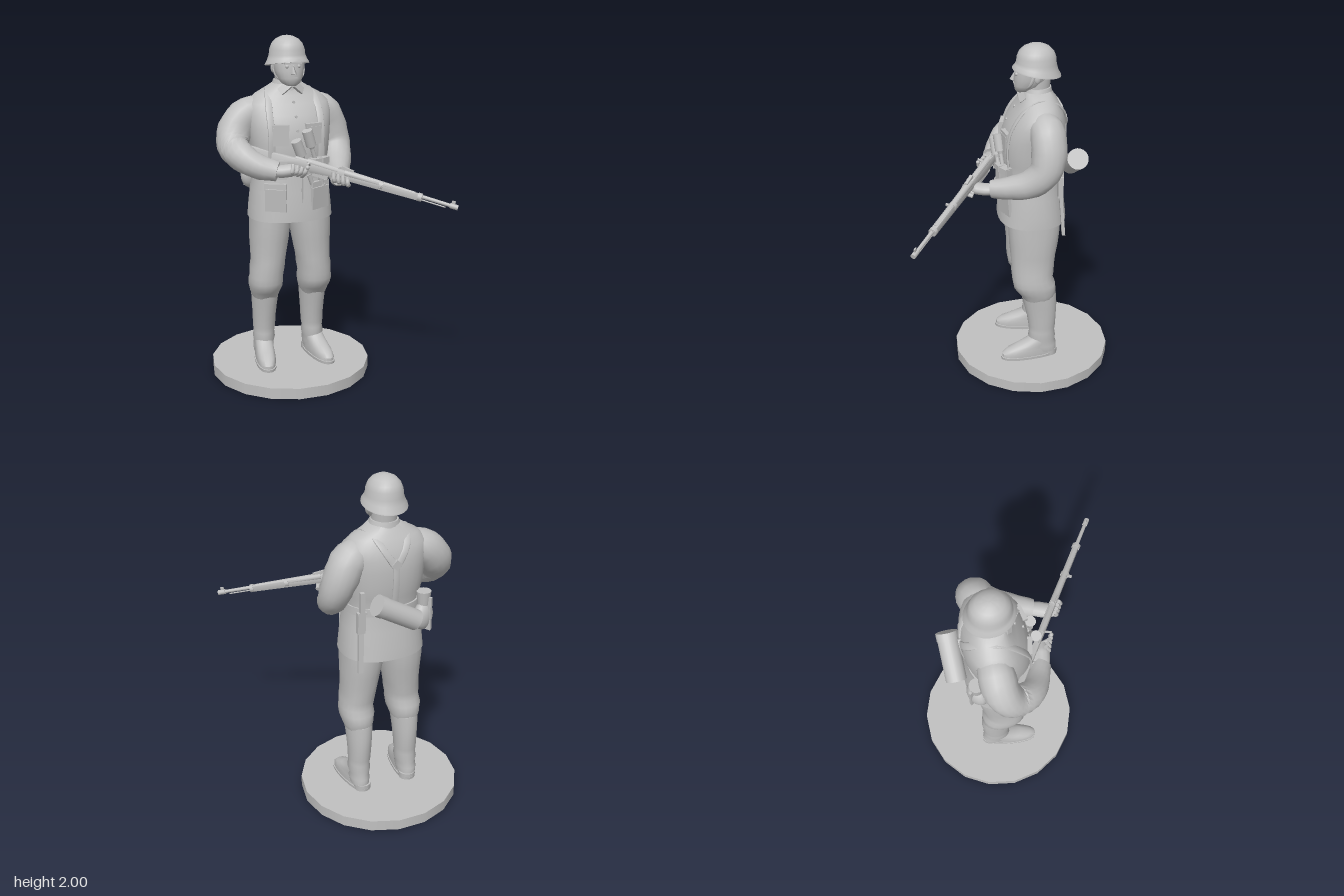
import * as THREE from 'three';
import { toCreasedNormals } from 'three/addons/utils/BufferGeometryUtils.js';

const V = (x, y, z) => new THREE.Vector3(x, y, z);
const CX = -0.13; // body centre line

export function createModel() {
  const model = new THREE.Group();
  const grey = new THREE.MeshStandardMaterial({ color: 0xc0c0c0 });
  grey.name = 'plain grey';

  const add = (name, geo, pos = [0, 0, 0], rot = [0, 0, 0], parent = model) => {
    const m = new THREE.Mesh(geo, grey);
    m.name = name;
    m.position.set(...pos);
    m.rotation.set(...rot);
    parent.add(m);
    return m;
  };

  // closed skin over rings {c, u, v}; n is the squareness, fold the depth of cloth folds
  function skin(rings, { n = 2, seg = 20, fold = 0 } = {}) {
    const pos = [], idx = [];
    const pw = (a) => Math.sign(a) * Math.abs(a) ** (2 / n);
    rings.forEach(({ c, u, v }, i) => {
      for (let j = 0; j < seg; j++) {
        const t = (j / seg) * Math.PI * 2;
        const k = 1 + fold * Math.sin(3 * t + 2.3 * i) * Math.sin(1.9 * i + t);
        const p = c.clone().addScaledVector(u, k * pw(Math.cos(t))).addScaledVector(v, k * pw(Math.sin(t)));
        pos.push(p.x, p.y, p.z);
      }
    });
    for (let i = 0; i < rings.length - 1; i++) for (let j = 0; j < seg; j++) {
      const a = i * seg + j, b = i * seg + (j + 1) % seg;
      idx.push(a, a + seg, b, b, a + seg, b + seg);
    }
    const last = (rings.length - 1) * seg, mid = rings.length * seg;
    for (const r of [rings[0], rings[rings.length - 1]]) pos.push(r.c.x, r.c.y, r.c.z);
    for (let j = 0; j < seg; j++) {
      const k = (j + 1) % seg;
      idx.push(mid, j, k, mid + 1, last + k, last + j);
    }
    const g = new THREE.BufferGeometry();
    g.setAttribute('position', new THREE.Float32BufferAttribute(pos, 3));
    g.setIndex(idx);
    return toCreasedNormals(g, 0.8);
  }

  // upright form from rows [y, x, z, rx, rz, tilt]
  const stack = (rows, opt) => skin(rows.map(([y, x, z, rx, rz, tilt = 0]) =>
    ({ c: V(x, y, z), u: V(rx, 0, 0), v: V(0, tilt, rz) })), opt);

  // form swept along points [x, y, z, r]; flat squashes it across ref
  function limb(pts, ref, { steps = 18, flat = 1, ...opt } = {}) {
    const curve = new THREE.CatmullRomCurve3(pts.map((p) => V(p[0], p[1], p[2])));
    const rings = [];
    for (let i = 0; i <= steps; i++) {
      const t = i / steps, f = t * (pts.length - 1), k = Math.min(Math.floor(f), pts.length - 2);
      const r = THREE.MathUtils.lerp(pts[k][3], pts[k + 1][3], f - k);
      const d = curve.getTangent(t);
      const u = ref.clone().addScaledVector(d, -ref.dot(d)).normalize();
      rings.push({ c: curve.getPoint(t), u: u.clone().multiplyScalar(r), v: u.cross(d).multiplyScalar(r * flat) });
    }
    return skin(rings, opt);
  }
  const X = V(1, 0, 0), Z = V(0, 0, 1);
  const box = (x, y, z) => new THREE.BoxGeometry(x, y, z);
  const rod = (r0, r1, h, n = 14) => new THREE.CylinderGeometry(r0, r1, h, n);

  // base
  add('base', rod(0.473, 0.473, 0.065, 18).rotateY(Math.PI / 18), [CX, 0.0325, -0.13]);

  // legs and boots
  for (const s of [-1, 1]) {
    const side = s < 0 ? 'right' : 'left';
    const at = (rows) => rows.map(([y, o, ...r]) => [y, CX + s * o, ...r]);
    add(side + 'TrouserLeg', stack(at([[0.47, 0.15, -0.15, 0.074, 0.09], [0.51, 0.15, -0.145, 0.088, 0.112],
      [0.54, 0.15, -0.13, 0.094, 0.124], [0.575, 0.15, -0.125, 0.1, 0.128], [0.61, 0.148, -0.115, 0.098, 0.12],
      [0.66, 0.143, -0.115, 0.1, 0.124], [0.71, 0.137, -0.117, 0.1, 0.127], [0.77, 0.132, -0.12, 0.108, 0.132],
      [0.84, 0.127, -0.122, 0.112, 0.14], [0.92, 0.122, -0.125, 0.117, 0.15], [1.02, 0.118, -0.125, 0.117, 0.155]]),
    { n: 2.2, fold: 0.035 }));
    add(side + 'BootShaft', stack(at([[0.1, 0.155, -0.19, 0.054, 0.076], [0.14, 0.155, -0.18, 0.06, 0.085],
      [0.17, 0.153, -0.178, 0.058, 0.077], [0.2, 0.153, -0.175, 0.066, 0.084], [0.235, 0.152, -0.175, 0.062, 0.077],
      [0.27, 0.151, -0.175, 0.066, 0.08], [0.34, 0.15, -0.172, 0.069, 0.088], [0.42, 0.149, -0.165, 0.076, 0.097],
      [0.505, 0.148, -0.153, 0.082, 0.102]]), { fold: 0.025 }));
    const foot = new THREE.Group();
    foot.name = side + 'Foot';
    foot.position.set(CX + s * 0.155, 0, -0.18);
    foot.rotation.y = s * 0.14;
    model.add(foot);
    add('bootUpper', stack([[0.075, 0, 0.085, 0.056, 0.17], [0.1, 0, 0.085, 0.058, 0.17], [0.125, 0, 0.075, 0.056, 0.152],
      [0.15, 0, 0.045, 0.054, 0.118], [0.18, 0, 0.012, 0.054, 0.085], [0.21, 0, 0, 0.05, 0.07]], { n: 2.3 }),
    [0, 0, 0], [0, 0, 0], foot);
    add('bootSole', stack([[0.062, 0, 0.085, 0.06, 0.175], [0.082, 0, 0.085, 0.062, 0.178]], { n: 2.4 }), [0, 0, 0], [0, 0, 0], foot);
    add('bootHeel', rod(0.052, 0.05, 0.04), [0, 0.085, -0.04], [0, 0, 0], foot);
  }

  // jacket
  const jacket = [[0.97, -0.122, 0.245, 0.203], [1.04, -0.12, 0.24, 0.197], [1.14, -0.118, 0.228, 0.185],
    [1.24, -0.117, 0.215, 0.172], [1.28, -0.119, 0.213, 0.17], [1.34, -0.122, 0.224, 0.178], [1.42, -0.127, 0.235, 0.183],
    [1.5, -0.133, 0.244, 0.178], [1.57, -0.145, 0.25, 0.162], [1.63, -0.155, 0.24, 0.135], [1.675, -0.158, 0.19, 0.108],
    [1.71, -0.155, 0.125, 0.09], [1.735, -0.148, 0.085, 0.08]];
  add('jacket', stack(jacket.map(([y, z, rx, rz]) => [y, CX, z, rx, rz]), { n: 2.3, seg: 32, fold: 0.012 }));

  // depth of the jacket surface at x, y; s is 1 for the front and -1 for the back
  function depth(x, y, s = 1) {
    let k = 0;
    while (k < jacket.length - 2 && jacket[k + 1][0] < y) k++;
    const a = jacket[k], b = jacket[k + 1], t = (y - a[0]) / (b[0] - a[0]);
    const [z, rx, rz] = [1, 2, 3].map((i) => a[i] + (b[i] - a[i]) * t);
    const q = Math.min(1, Math.abs(x - CX) / rx);
    return z + s * rz * (1 - q ** 2.3) ** (1 / 2.3);
  }
  const onJacket = (name, geo, x, y, s = 1, out = 0, roll = 0) => {
    const slope = (depth(x + 0.01, y, s) - depth(x - 0.01, y, s)) / 0.02;
    return add(name, geo, [x, y, depth(x, y, s) + s * out], [0, Math.atan(-slope), roll]);
  };

  // belt, buckle and jacket front
  add('belt', stack([[1.238, CX, -0.117, 0.224, 0.181], [1.285, CX, -0.119, 0.223, 0.18]], { n: 2.3, seg: 32 }));
  onJacket('beltBuckle', box(0.055, 0.05, 0.012), CX, 1.262, 1, 0.012);
  for (let y = 1.34; y < 1.68; y += 0.075) {
    onJacket('button', rod(0.008, 0.008, 0.01, 8).rotateX(Math.PI / 2), CX, y, 1, 0.004);
  }
  onJacket('jacketFrontEdge', box(0.006, 0.25, 0.012), CX + 0.02, 1.1, 1, -0.004).rotation.x = 0.08;

  // pockets, ammunition pouches, shoulder straps and collar
  const strap = (name, pts) => add(name, limb(pts.map(([x, y, z]) => [x, y, z, 0.02]), X, { flat: 0.35, n: 3, seg: 12 }));
  for (const s of [-1, 1]) {
    const x = (o) => CX + s * o;
    onJacket('chestPocket', box(0.09, 0.1, 0.02), x(0.095), 1.46, 1, 0.002);
    onJacket('chestPocketFlap', box(0.096, 0.035, 0.03), x(0.095), 1.51, 1, 0.002);
    onJacket('skirtPocket', box(0.12, 0.13, 0.02), x(0.13), 1.1, 1, 0).rotation.x = 0.08;
    onJacket('skirtPocketFlap', box(0.126, 0.04, 0.03), x(0.13), 1.175, 1, 0);
    for (const o of [0.095, 0.15]) {
      onJacket('ammunitionPouch', box(0.052, 0.1, 0.05), x(o), 1.275, 1, 0.022);
      onJacket('pouchLid', box(0.056, 0.035, 0.058), x(o), 1.315, 1, 0.022);
    }
    strap('shoulderStrap', [...[1.31, 1.4, 1.5, 1.6].map((y) => [x(0.145), y, depth(x(0.145), y) + 0.006]),
      [x(0.13), 1.675, -0.085], [x(0.115), 1.705, -0.15], [x(0.095), 1.685, -0.235],
      [x(0.06), 1.62, depth(x(0.06), 1.62, -1) - 0.006], [x(0.01), 1.54, depth(CX, 1.54, -1) - 0.006]]);
    add('collar', box(0.07, 0.045, 0.014), [x(0.04), 1.715, -0.062], [-0.5, s * 0.55, s * -0.5]);
  }
  strap('backStrap', [1.27, 1.36, 1.45, 1.55].map((y) => [CX, y, depth(CX, y, -1) - 0.006]));
  onJacket('strapRing', box(0.045, 0.045, 0.015), CX, 1.545, -1, 0.008, Math.PI / 4);
  add('collarBand', stack([[1.7, CX, -0.15, 0.1, 0.09], [1.755, CX, -0.15, 0.078, 0.08]]));

  // head
  add('neck', stack([[1.68, CX, -0.14, 0.07, 0.075], [1.82, CX, -0.15, 0.07, 0.08]]));
  add('head', stack([[1.728, CX, -0.072, 0.03, 0.035], [1.74, CX, -0.08, 0.05, 0.055], [1.77, CX, -0.1, 0.073, 0.08],
    [1.81, CX, -0.118, 0.083, 0.097], [1.85, CX, -0.125, 0.088, 0.1], [1.92, CX, -0.14, 0.085, 0.1]], { n: 2.2 }));
  add('nose', new THREE.ConeGeometry(0.017, 0.055, 4), [CX, 1.822, -0.019], [-0.25, 0, 0]);
  add('mouth', box(0.042, 0.008, 0.016), [CX, 1.777, -0.026]);
  add('brow', box(0.1, 0.012, 0.025), [CX, 1.858, -0.034]);
  for (const s of [-1, 1]) {
    add('eye', new THREE.SphereGeometry(0.011, 8, 6), [CX + s * 0.034, 1.838, -0.033]);
    add('ear', new THREE.SphereGeometry(0.026, 10, 8).scale(0.4, 1, 0.7), [CX + s * 0.087, 1.82, -0.14]);
    add('chinStrap', limb([[CX + s * 0.092, 1.86, -0.13, 0.009], [CX + s * 0.08, 1.78, -0.1, 0.009],
      [CX, 1.726, -0.06, 0.009]], Z, { flat: 0.5, seg: 8 }));
  }
  add('helmet', stack([[1.838, CX, -0.148, 0.126, 0.137, 0.024], [1.846, CX, -0.148, 0.124, 0.135, 0.024],
    [1.868, CX, -0.147, 0.112, 0.12, 0.016], [1.892, CX, -0.146, 0.103, 0.113, 0.006], [1.925, CX, -0.145, 0.099, 0.11],
    [1.955, CX, -0.145, 0.087, 0.098], [1.98, CX, -0.145, 0.065, 0.074], [1.995, CX, -0.145, 0.035, 0.042],
    [2, CX, -0.145, 0.008, 0.01]], { seg: 28 }));

  // arms and hands
  const sleeve = { n: 2.1, seg: 18, steps: 20, fold: 0.045 };
  add('rightArm', limb([[-0.26, 1.59, -0.165, 0.08], [-0.36, 1.56, -0.17, 0.1], [-0.435, 1.48, -0.155, 0.1],
    [-0.465, 1.4, -0.1, 0.088], [-0.43, 1.345, -0.01, 0.082], [-0.35, 1.3, 0.05, 0.07], [-0.26, 1.28, 0.095, 0.055]], Z, sleeve));
  add('leftArm', limb([[0, 1.59, -0.165, 0.08], [0.085, 1.56, -0.18, 0.1], [0.14, 1.46, -0.185, 0.098],
    [0.165, 1.36, -0.16, 0.088], [0.15, 1.285, -0.08, 0.08], [0.115, 1.25, 0.03, 0.066], [0.085, 1.235, 0.13, 0.052]], X, sleeve));
  add('rightHand', limb([[-0.29, 1.28, 0.085, 0.04], [-0.24, 1.28, 0.105, 0.045], [-0.19, 1.285, 0.115, 0.045],
    [-0.145, 1.285, 0.125, 0.028]], Z, { flat: 0.8, seg: 12 }));
  add('leftHand', limb([[0.09, 1.235, 0.11, 0.04], [0.075, 1.23, 0.16, 0.046], [0.055, 1.23, 0.21, 0.046],
    [0.04, 1.235, 0.25, 0.03]], X, { flat: 0.7, seg: 12 }));
  for (let i = 0; i < 4; i++) {
    const a = i * 0.022;
    add('rightFinger', limb([[-0.2 + a, 1.27 - a * 0.3, 0.1 + a * 0.5, 0.012], [-0.195 + a, 1.285, 0.155 + a * 0.4, 0.013],
      [-0.185 + a, 1.325 - a * 0.3, 0.14 + a * 0.6, 0.011]], X, { steps: 8, seg: 8 }));
    add('leftFinger', limb([[0.04 + a, 1.225 - a * 0.3, 0.21 + a * 0.4, 0.012], [0.015 + a, 1.245 - a * 0.3, 0.25 + a * 0.6, 0.013],
      [0.015 + a, 1.285 - a * 0.3, 0.24 + a * 0.6, 0.011]], X, { steps: 8, seg: 8 }));
  }

  // rifle, built along +z from butt to muzzle
  const rifle = new THREE.Group();
  rifle.name = 'rifle';
  rifle.position.set(-0.41, 1.425, -0.068);
  rifle.lookAt(0.6, 1.125, 0.583);
  model.add(rifle);
  const part = (name, geo, pos, rot) => add(name, geo, pos, rot, rifle);
  const along = (r0, r1, z0, z1, n = 12) => rod(r1, r0, z1 - z0, n).rotateX(Math.PI / 2).translate(0, 0, (z0 + z1) / 2);
  const outline = [[0, -0.11], [0.1, -0.088], [0.27, -0.048], [0.36, -0.04], [0.42, -0.05], [0.54, -0.036], [1.04, -0.02],
    [1.04, 0.006], [0.42, 0.008], [0.35, -0.002], [0.28, -0.008], [0, -0.018]];
  const stock = new THREE.ExtrudeGeometry(new THREE.Shape(outline.map((p) => new THREE.Vector2(...p))),
    { depth: 0.022, bevelEnabled: true, bevelSize: 0.005, bevelThickness: 0.006, bevelSegments: 2 });
  part('stock', toCreasedNormals(stock.translate(0, 0, -0.011).rotateY(-Math.PI / 2), 0.7));
  part('barrel', along(0.014, 0.01, 0.42, 1.24));
  part('handguard', along(0.02, 0.016, 0.6, 1.0));
  part('receiver', along(0.018, 0.018, 0.38, 0.56));
  part('bolt', along(0.011, 0.011, 0.31, 0.4));
  part('boltHandle', rod(0.006, 0.006, 0.055, 8), [-0.03, -0.005, 0.4], [0, 0, 1.1]);
  part('boltKnob', new THREE.SphereGeometry(0.012, 10, 8), [-0.056, -0.018, 0.4]);
  part('magazine', box(0.028, 0.03, 0.09), [0, -0.052, 0.47]);
  part('triggerGuard', new THREE.TorusGeometry(0.024, 0.004, 6, 14).rotateY(Math.PI / 2), [0, -0.055, 0.395]);
  part('rearSight', box(0.018, 0.016, 0.07), [0, 0.022, 0.61], [0.12, 0, 0]);
  for (const z of [0.8, 1.02]) part('barrelBand', along(0.024, 0.024, z, z + 0.022), [0, -0.006, 0]);
  part('bandSwivel', box(0.035, 0.012, 0.012), [-0.025, -0.005, 0.81]);
  part('cleaningRod', along(0.004, 0.004, 1.03, 1.18, 6), [0, -0.018, 0]);
  part('frontSight', box(0.008, 0.024, 0.02), [0, 0.018, 1.215]);
  part('muzzleRing', along(0.015, 0.015, 1.2, 1.245));

  // stick grenades tucked in the belt
  for (const [x, y, z, tilt] of [[-0.07, 1.45, 0.07, 0.34], [-0.135, 1.4, 0.085, 0.42]]) {
    const g = new THREE.Group();
    g.name = 'stickGrenade';
    g.position.set(x, y, z);
    g.rotation.set(0.12, 0, tilt * 0.9);
    g.scale.x = g.scale.z = 0.95;
    model.add(g);
    add('grenadeHead', rod(0.031, 0.031, 0.095), [0, 0, 0], [0, 0, 0], g);
    add('grenadeCollar', rod(0.02, 0.014, 0.02), [0, -0.055, 0], [0, 0, 0], g);
    add('grenadeHandle', rod(0.012, 0.014, 0.26), [0, -0.18, 0], [0, 0, 0], g);
    add('grenadeCap', rod(0.017, 0.017, 0.025), [0, -0.305, 0], [0, 0, 0], g);
  }

  // equipment on the back
  const tin = new THREE.Group();
  tin.name = 'canister';
  tin.position.set(-0.11, 1.29, -0.37);
  tin.rotation.z = -Math.PI / 3;
  model.add(tin);
  add('canisterBody', rod(0.058, 0.058, 0.27, 20), [0, 0, 0], [0, 0, 0], tin);
  add('canisterLid', rod(0.061, 0.061, 0.045, 20), [0, 0.115, 0], [0, 0, 0], tin);
  add('canteen', new THREE.SphereGeometry(0.075, 16, 12).scale(0.95, 1.15, 0.65), [-0.32, 1.19, -0.275], [0, 0.55, 0]);
  add('canteenCup', rod(0.042, 0.034, 0.08), [-0.32, 1.3, -0.275]);
  add('canteenStrap', box(0.016, 0.2, 0.105), [-0.32, 1.21, -0.275], [0, 0.55, 0]);
  add('bayonetSheath', box(0.03, 0.3, 0.018), [0.06, 1.06, -0.275], [0.08, 0, 0.04]);
  add('bayonetFrog', box(0.045, 0.12, 0.03), [0.055, 1.21, -0.265]);
  add('bayonetGrip', box(0.026, 0.13, 0.024), [0.05, 1.33, -0.27]);
  add('bayonetGuard', box(0.055, 0.014, 0.026), [0.052, 1.27, -0.268]);
  return model;
}
